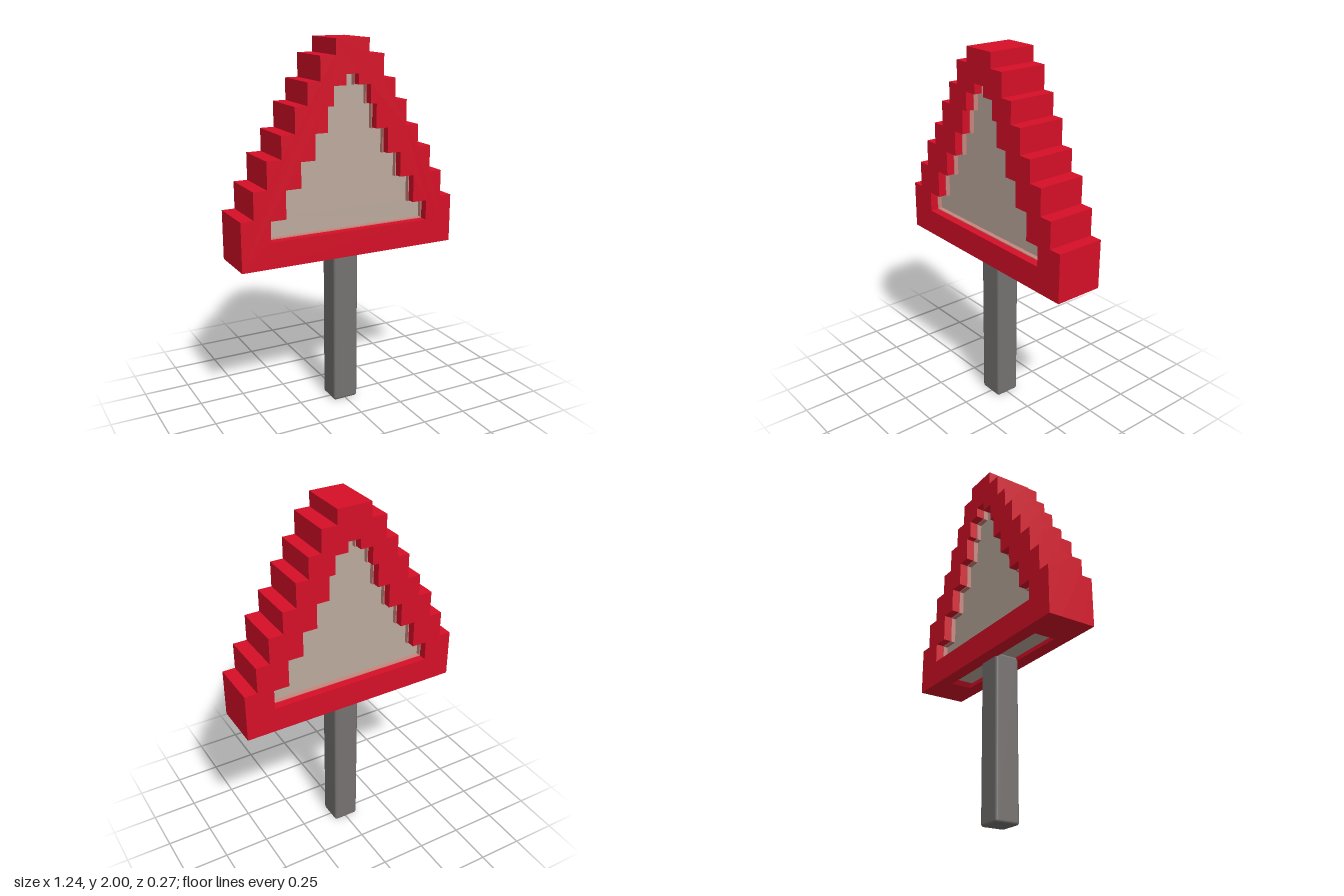
import * as THREE from 'three';
import { RoundedBoxGeometry } from 'three/addons/geometries/RoundedBoxGeometry.js';

const mat = (name, color) => new THREE.MeshStandardMaterial({ name, color });

// Steps from the bottom up: [half width, top of the step]
const OUTER = [[0.62, 1.135], [0.55, 1.28], [0.475, 1.425], [0.395, 1.545],
  [0.32, 1.68], [0.25, 1.795], [0.18, 1.92], [0.095, 2]];
const INNER = [[0.46, 1.12], [0.375, 1.27], [0.29, 1.405], [0.21, 1.54],
  [0.14, 1.67], [0.105, 1.77], [0.035, 1.825]];
const OUTER_BASE = 0.87, INNER_BASE = 1.01;
const HALF_DEPTH = 0.135, CORE = 0.06;
const SLOT = { x: 0.4, top: 0.9 };

// Corners of a mirrored staircase, optionally shrunk by an inset
function stairPoints(steps, base, inset = 0) {
  const right = [];
  let y = base + inset;
  for (const [w, top] of steps) {
    right.push([w - inset, y]);
    y = top - inset;
    right.push([w - inset, y]);
  }
  const left = right.map(([x, yy]) => [-x, yy]).reverse();
  return [...right, ...left].map(([x, yy]) => new THREE.Vector2(x, yy));
}

// Flat extrusion from z0 to z1
function slab(points, z0, z1, hole) {
  const shape = new THREE.Shape(points);
  if (hole) shape.holes.push(new THREE.Path(hole));
  const geo = new THREE.ExtrudeGeometry(shape, { depth: z1 - z0, bevelEnabled: false });
  return geo.translate(0, 0, z0);
}

export function createModel() {
  const group = new THREE.Group();
  const red = mat('signRed', 0xd60f27);
  const beige = mat('panelBeige', 0xbcaa9d);
  const pink = mat('edgePink', 0xc9857d);
  const grey = mat('postGrey', 0x757270);

  const add = (name, geo, material) => {
    const mesh = new THREE.Mesh(geo, material);
    mesh.name = name;
    group.add(mesh);
    return mesh;
  };

  const outer = stairPoints(OUTER, OUTER_BASE);
  const inner = stairPoints(INNER, INNER_BASE);

  // Solid core with a slot cut into its underside
  const notch = [[-SLOT.x, OUTER_BASE], [-SLOT.x + 0.02, SLOT.top],
    [SLOT.x - 0.02, SLOT.top], [SLOT.x, OUTER_BASE]].map(([x, y]) => new THREE.Vector2(x, y));
  add('frameCore', slab([...outer, ...notch], -CORE, CORE), red);
  const slotPanel = add('slotPanel', new THREE.BoxGeometry(2 * SLOT.x - 0.04, 0.008, 2 * CORE), beige);
  slotPanel.position.y = SLOT.top - 0.003;

  // Raised stepped rim, recessed panel and its coloured edge on both faces
  for (const [side, s] of [['front', 1], ['back', -1]]) {
    const layer = (points, a, b, hole) => slab(points, Math.min(s * a, s * b), Math.max(s * a, s * b), hole);
    add(side + 'Rim', layer(outer, CORE, HALF_DEPTH, inner), red);
    add(side + 'Panel', layer(inner, CORE, CORE + 0.005), beige);
    add(side + 'PanelEdge', layer(inner, CORE, CORE + 0.03, stairPoints(INNER, INNER_BASE, 0.005)), pink);
  }

  // Square post with softened corners
  const post = add('post', new RoundedBoxGeometry(0.145, 0.89, 0.14, 2, 0.015), grey);
  post.position.y = 0.445;

  return group;
}
